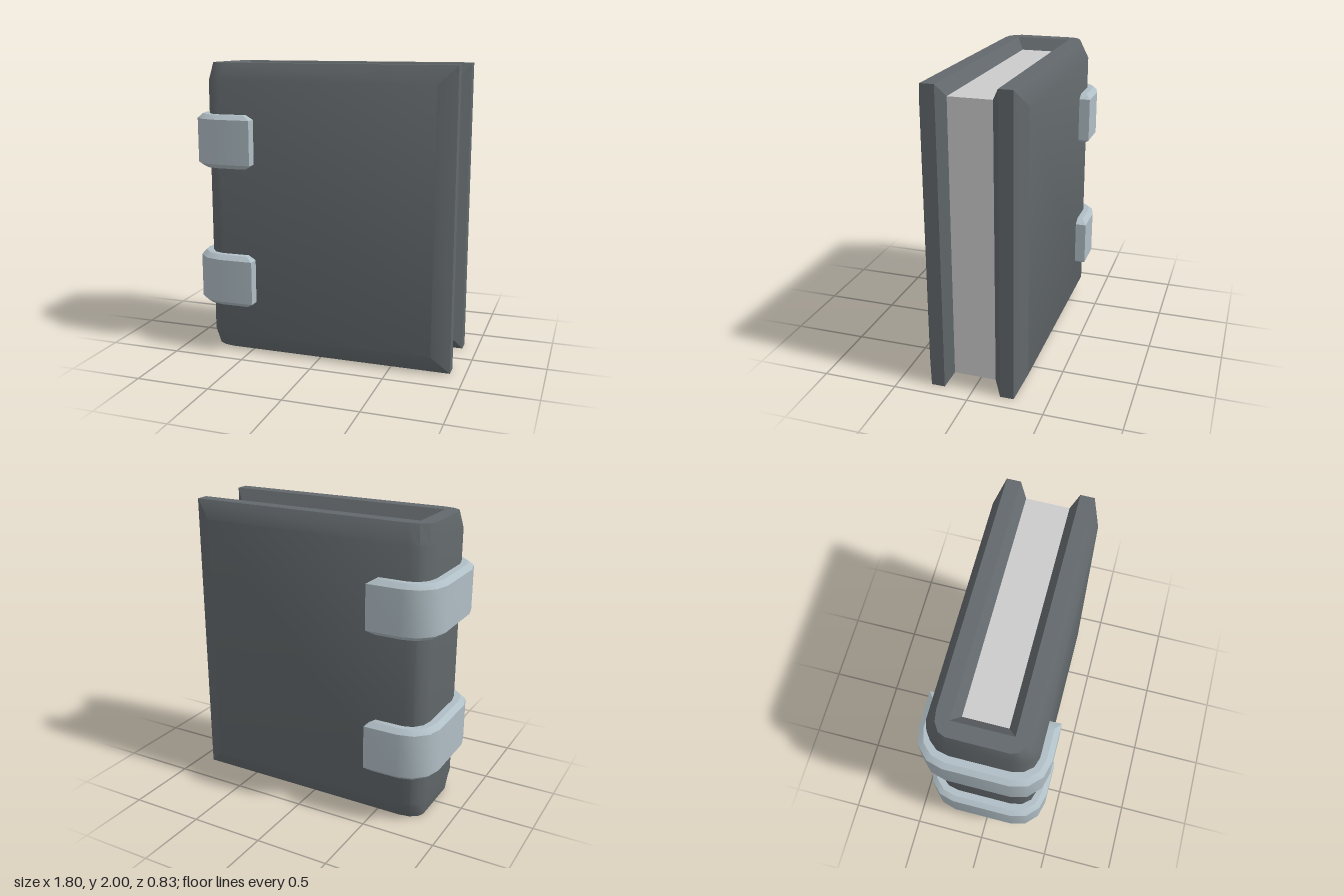
import * as THREE from 'three';
import { toCreasedNormals } from 'three/addons/utils/BufferGeometryUtils.js';

// Half of a U-shaped path: free end, then a rounded corner in three segments.
function halfPath(endX, cx, cz, rx, rz) {
  const points = [[endX, cz + rz]];
  for (let i = 0; i <= 3; i++) {
    const t = (i * Math.PI) / 6;
    points.push([cx - rx * Math.sin(t), cz + rz * Math.cos(t)]);
  }
  return points;
}

// Half path that turns at one sharp corner, with matching point count.
function sharpPath(endX, x, z) {
  return [[endX, z], [x, z], [x, z], [x, z], [x, z]];
}

// Skins a closed U from eight lanes [halfPath, y]; lane 4-5 is left open
// because it lies against another part. Caps close both free ends.
function skinU(lanes, caps) {
  const rings = [];
  const count = lanes[0][0].length;
  for (const side of [1, -1]) {
    for (let k = 0; k < count; k++) {
      const i = side === 1 ? k : count - 1 - k;
      rings.push(lanes.map(([path, y]) => new THREE.Vector3(path[i][0], y, side * path[i][1])));
    }
  }
  const positions = [];
  const triangle = (a, b, c) => {
    const area = b.clone().sub(a).cross(c.clone().sub(a)).length();
    if (area > 1e-7) for (const p of [a, b, c]) positions.push(p.x, p.y, p.z);
  };
  const quad = (a, b, c, d) => {
    triangle(a, b, c);
    triangle(a, c, d);
  };
  for (let i = 0; i < rings.length - 1; i++) {
    const r = rings[i], s = rings[i + 1];
    for (let k = 0; k < 8; k++) {
      const n = (k + 1) % 8;
      if (k !== 4) quad(r[k], r[n], s[n], s[k]);
    }
  }
  const first = rings[0], last = rings[rings.length - 1];
  for (const cap of caps) {
    quad(...[...cap].reverse().map((k) => first[k]));
    quad(...cap.map((k) => last[k]));
  }
  const geometry = new THREE.BufferGeometry();
  geometry.setAttribute('position', new THREE.Float32BufferAttribute(positions, 3));
  return toCreasedNormals(geometry, THREE.MathUtils.degToRad(36));
}

export function createModel() {
  const book = new THREE.Group();
  book.name = 'book';
  const add = (name, geometry, color) => {
    const mesh = new THREE.Mesh(geometry, new THREE.MeshStandardMaterial({ color }));
    mesh.name = name;
    book.add(mesh);
    return mesh;
  };

  // Cover: two boards and a rounded spine, bevelled outside and inside
  const outer = halfPath(0.78, -0.695, 0.19, 0.125, 0.15);
  const rim = halfPath(0.9, -0.657, 0.19, 0.143, 0.09);
  const lip = sharpPath(0.9, -0.7, 0.19);
  const recess = sharpPath(0.84, -0.64, 0.14);
  add('cover', skinU(
    [[outer, 0.12], [outer, 1.88], [rim, 2], [lip, 2],
      [recess, 1.92], [recess, 0.08], [lip, 0], [rim, 0]],
    [[0, 1, 2, 7], [2, 3, 6, 7], [3, 4, 5, 6]],
  ), 0x62686b);

  // Page block
  const pages = add('pages', new THREE.BoxGeometry(1.48, 1.84, 0.28), 0xcccccc);
  pages.position.set(0.1, 1, 0);

  // Two bevelled straps wrapped around the spine
  const face = halfPath(-0.45, -0.69, 0.21, 0.21, 0.205);
  const edge = halfPath(-0.5, -0.69, 0.2, 0.175, 0.18);
  const innerEdge = halfPath(-0.5, -0.695, 0.19, 0.115, 0.14);
  const innerFace = halfPath(-0.45, -0.695, 0.19, 0.115, 0.14);
  const strap = skinU(
    [[face, -0.15], [face, 0.15], [edge, 0.18], [innerEdge, 0.18],
      [innerFace, 0.15], [innerFace, -0.15], [innerEdge, -0.18], [edge, -0.18]],
    [[0, 1, 4, 5], [1, 2, 3, 4], [5, 6, 7, 0]],
  );
  for (const [name, y] of [['lowerStrap', 0.52], ['upperStrap', 1.48]]) {
    add(name, strap, 0xb0bec5).position.y = y;
  }
  return book;
}
